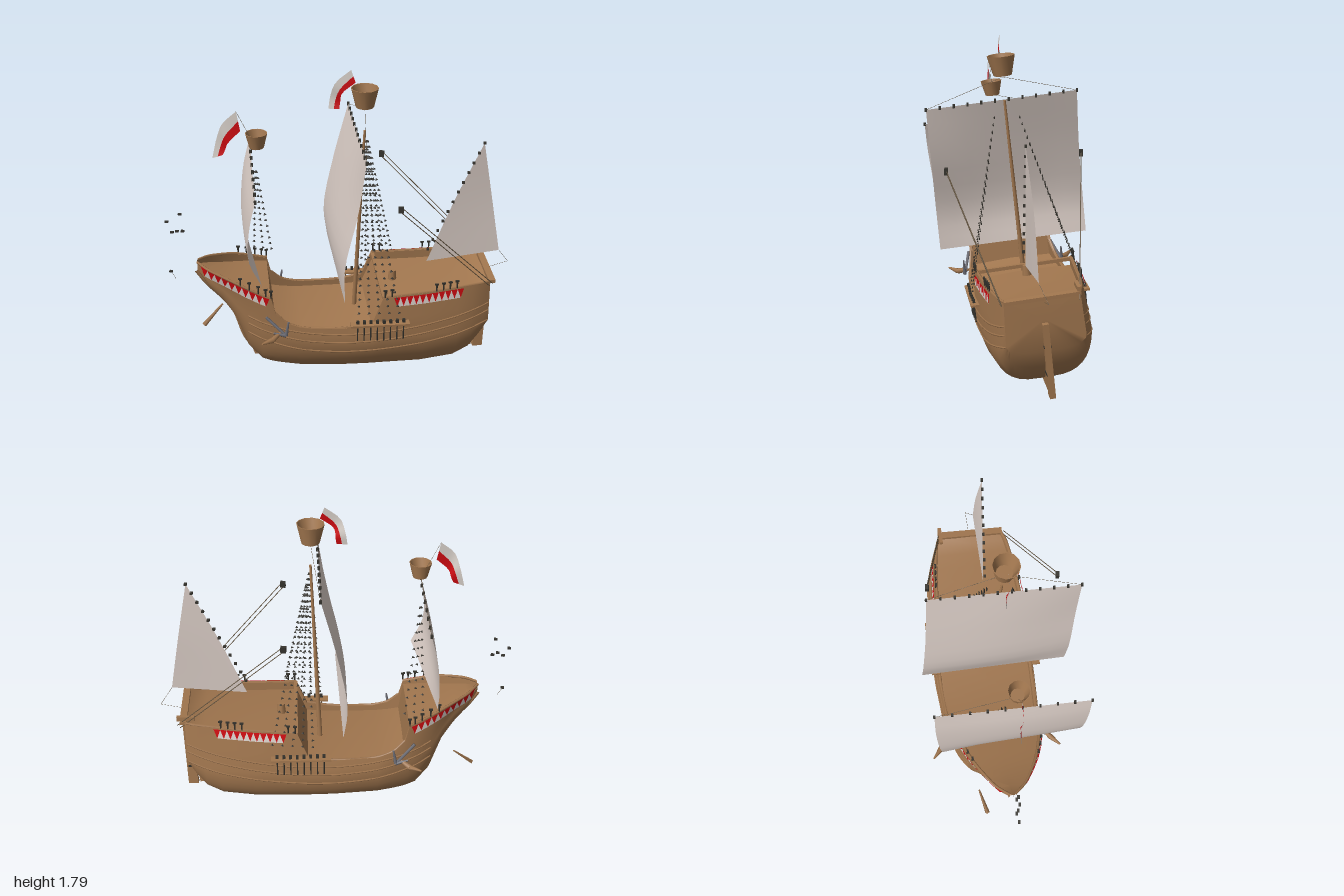
import * as THREE from 'three';
import { mergeGeometries, toCreasedNormals } from 'three/addons/utils/BufferGeometryUtils.js';

const mat = (name, color, side = THREE.FrontSide) => {
  const m = new THREE.MeshStandardMaterial({ color, side });
  m.name = name;
  return m;
};
const V = (x, y, z) => new THREE.Vector3(x, y, z);

// hull stations: along, keel height, max half beam, its height, top half beam, rail height, deck height
const STATIONS = [
  [-0.84, 0.62, 0.012, 0.64, 0.015, 0.675, 0.65], [-0.78, 0.53, 0.07, 0.60, 0.085, 0.66, 0.62],
  [-0.70, 0.44, 0.11, 0.56, 0.14, 0.64, 0.59], [-0.63, 0.34, 0.15, 0.49, 0.18, 0.62, 0.57],
  [-0.56, 0.14, 0.19, 0.42, 0.21, 0.595, 0.555], [-0.48, 0.05, 0.23, 0.36, 0.235, 0.565, 0.54],
  [-0.43, 0.035, 0.246, 0.34, 0.247, 0.55, 0.53], [-0.405, 0.03, 0.253, 0.33, 0.252, 0.45, 0.36],
  [-0.34, 0.025, 0.273, 0.32, 0.267, 0.39, 0.34],
  [-0.25, 0.02, 0.29, 0.29, 0.28, 0.36, 0.325], [0, 0.015, 0.306, 0.27, 0.292, 0.355, 0.32],
  [0.15, 0.015, 0.308, 0.27, 0.288, 0.385, 0.335], [0.21, 0.015, 0.307, 0.28, 0.28, 0.54, 0.49],
  [0.45, 0.015, 0.297, 0.28, 0.263, 0.55, 0.50], [0.65, 0.035, 0.275, 0.29, 0.246, 0.565, 0.515],
  [0.74, 0.08, 0.252, 0.30, 0.232, 0.57, 0.525], [0.80, 0.17, 0.23, 0.31, 0.22, 0.572, 0.535],
  [0.845, 0.27, 0.212, 0.33, 0.20, 0.572, 0.56],
];
const stationAt = (u) => {
  let i = 0;
  while (i < STATIONS.length - 2 && STATIONS[i + 1][0] < u) i++;
  const a = STATIONS[i], b = STATIONS[i + 1], t = (u - a[0]) / (b[0] - a[0]);
  return a.map((n, k) => n + (b[k] - n) * t);
};
// half width of the hull at a height
const widthAt = (u, v) => {
  const [, k, B, m, T, s] = stationAt(u);
  if (v >= m) return B + (T - B) * Math.min(1, (v - m) / (s - m));
  return B * Math.pow(Math.sin(Math.acos(Math.max(0, Math.min(1, 1 - (v - k) / (m - k))))), 0.6);
};

function hullGeometry() {
  const pos = [], idx = [];
  let n = 0;
  for (const [u, k, B, m, T, s, d] of STATIONS) {
    const half = [];
    for (let j = 0; j <= 9; j++) {
      const a = (j / 9) * Math.PI / 2;
      half.push([B * Math.pow(Math.sin(a), 0.6), k + (m - k) * (1 - Math.cos(a))]);
    }
    const inner = T * 0.93;
    half.push([(B + T) / 2, (m + s) / 2], [T, s], [inner, s], [inner, d], [0, d + 0.01]);
    const ring = [...half, ...half.slice(1, -1).reverse().map(([w, v]) => [-w, v])];
    n = ring.length;
    for (const [w, v] of ring) pos.push(u, v, w);
  }
  const rows = STATIONS.length;
  for (let i = 0; i < rows - 1; i++) for (let j = 0; j < n; j++) {
    const a = i * n + j, b = i * n + (j + 1) % n;
    idx.push(a, a + n, b + n, a, b + n, b);
  }
  // transom
  const last = (rows - 1) * n;
  pos.push(0.85, 0.45, 0);
  for (let j = 0; j < n; j++) idx.push(rows * n, last + (j + 1) % n, last + j);
  const g = new THREE.BufferGeometry();
  g.setAttribute('position', new THREE.Float32BufferAttribute(pos, 3));
  g.setIndex(idx);
  return toCreasedNormals(g, 0.7);
}

// sail or flag surface between two edge curves, bellied toward the bow
function clothGeometry(edgeA, edgeB, belly, cols = 8, rows = 10) {
  const ca = new THREE.CatmullRomCurve3(edgeA), cb = new THREE.CatmullRomCurve3(edgeB);
  const g = new THREE.PlaneGeometry(1, 1, cols, rows), p = g.attributes.position;
  for (let i = 0; i < p.count; i++) {
    const s = p.getX(i) + 0.5, t = 0.5 - p.getY(i);
    const q = ca.getPoint(t).lerp(cb.getPoint(t), s);
    p.setXYZ(i, q.x - belly * Math.sin(Math.PI * s) * Math.sin(Math.PI * t), q.y, q.z);
  }
  g.computeVertexNormals();
  return g;
}
const rod = (a, b, r0, r1 = r0, sides = 5) => {
  const d = b.clone().sub(a);
  const g = new THREE.CylinderGeometry(r1, r0, d.length(), sides);
  g.applyQuaternion(new THREE.Quaternion().setFromUnitVectors(V(0, 1, 0), d.normalize()));
  return g.translate((a.x + b.x) / 2, (a.y + b.y) / 2, (a.z + b.z) / 2);
};
const block = (p, w, h, d) => new THREE.BoxGeometry(w, h, d).translate(p.x, p.y, p.z);

export function createModel() {
  const wood = mat('wood', 0xa2774f);
  const canvas = mat('canvas', 0xdacdc6, THREE.DoubleSide);
  const white = mat('white cloth', 0xdcd4cd, THREE.DoubleSide), red = mat('red cloth', 0xd00a10, THREE.DoubleSide);
  const tar = mat('tarred fittings', 0x35332d), iron = mat('iron', 0x707078), ropeMat = mat('rope', 0x65553f);

  const model = new THREE.Group(), ship = new THREE.Group(), rig = new THREE.Group();
  model.name = 'sailingShip'; ship.name = 'hullGroup'; rig.name = 'rigging';
  model.add(ship, rig);
  // the hull is turned and heels to one side
  ship.position.z = -0.135;
  ship.rotation.set(0.107, 0.157, 0, 'YXZ');
  const add = (parent, name, geos, m) => {
    const list = [].concat(geos).map((g) => (g.index ? g.toNonIndexed() : g));
    const mesh = new THREE.Mesh(list.length > 1 ? mergeGeometries(list) : list[0], m);
    mesh.name = name;
    parent.add(mesh);
  };

  add(ship, 'hull', hullGeometry(), wood);
  // stem, sternpost and rudder
  const keel = STATIONS.slice(0, 8).map(([u, k]) => V(u - 0.005, k, 0));
  add(ship, 'stem', new THREE.TubeGeometry(new THREE.CatmullRomCurve3(keel), 24, 0.016, 6), wood);
  const plate = (pts, t) => new THREE.ExtrudeGeometry(new THREE.Shape(pts.map(([x, y]) => new THREE.Vector2(x, y))),
    { depth: t, bevelEnabled: false }).translate(0, 0, -t / 2);
  add(ship, 'forefoot', plate([[-0.52, 0.025], [-0.36, 0.025], [-0.55, 0.25], [-0.61, 0.30]], 0.022), wood);
  add(ship, 'sternpost', plate([[0.55, 0.02], [0.80, 0.02], [0.85, 0.35], [0.78, 0.35]], 0.025), wood);
  add(ship, 'rudder', plate([[0.81, 0.01], [0.87, 0.01], [0.88, 0.43], [0.848, 0.43]], 0.032), wood);
  add(ship, 'rudderHinges', [0.14, 0.3].map((v) => block(V(0.835, v, 0), 0.06, 0.012, 0.038)), tar);

  // wales, cap rails, buntings and fittings on both sides
  const wales = [], caps = [], bars = [], channels = [], posts = [], reds = [], whites = [];
  const tri = (list, a, b, c) => list.push(a.x, a.y, a.z, b.x, b.y, b.z, c.x, c.y, c.z);
  const tube = (pts, r) => new THREE.TubeGeometry(new THREE.CatmullRomCurve3(pts), 40, r, 5);
  for (const s of [1, -1]) {
    for (const base of [0.20, 0.265, 0.315]) {
      const pts = [];
      for (let u = -0.56; u < 0.85; u += 0.07) {
        const v = base + 0.17 * u * u + (u < 0 ? 0.12 * u * u : 0);
        pts.push(V(u, v, s * widthAt(u, v)));
      }
      wales.push(tube(pts, 0.005));
    }
    for (const [from, to] of [[0, 6], [7, 11], [12, 17]])
      caps.push(tube(STATIONS.slice(from, to + 1).map(([u, , , , T, top]) => V(u, top, s * T * 0.97)), 0.008));
    // chain plates under the channel boards
    for (let i = 0; i < 8; i++) {
      const u = 0.06 + i * 0.038, w = s * (widthAt(u, 0.32) + 0.016);
      bars.push(rod(V(u, 0.28, w), V(u, 0.39, w), 0.004), block(V(u, 0.405, w), 0.016, 0.02, 0.014));
    }
    channels.push(block(V(0.19, 0.385, s * 0.31), 0.34, 0.012, 0.05));
    // rail posts and swivels
    for (const u of [-0.6, -0.55, -0.5, -0.46, -0.43, 0.22, 0.26, 0.52, 0.56, 0.6, 0.64]) {
      const [, , , , T, top] = stationAt(u);
      posts.push(rod(V(u, top, s * T), V(u, top + 0.045, s * T), 0.004, 0.006),
        block(V(u, top + 0.045, s * T), 0.022, 0.008, 0.01));
    }
    // bunting of alternating triangles
    for (const [from, to, count] of [[-0.82, -0.44, 10], [0.27, 0.68, 11]]) {
      const P = (f, low) => {
        const u = from + (to - from) * f / count, v = stationAt(u)[5] - (low ? 0.058 : 0.002);
        return V(u, v, s * (widthAt(u, v) + 0.012));
      };
      for (let i = 0; i < count; i++) {
        tri(reds, P(i, false), P(i + 0.5, true), P(i + 1, false));
        if (i) tri(whites, P(i - 0.5, true), P(i + 0.5, true), P(i, false));
      }
    }
  }
  add(ship, 'wales', wales, wood);
  add(ship, 'capRails', caps, wood);
  add(ship, 'chainPlates', bars, tar);
  add(ship, 'channels', channels, wood);
  add(ship, 'railPosts', posts, tar);
  for (const [name, list, m] of [['redBunting', reds, red], ['whiteBunting', whites, white]]) {
    const g = new THREE.BufferGeometry();
    g.setAttribute('position', new THREE.Float32BufferAttribute(list, 3));
    g.computeVertexNormals();
    add(ship, name, g, m);
  }
  // deck details
  add(ship, 'deckBeams', [block(V(0.215, 0.53, 0), 0.02, 0.02, 0.55), block(V(0.855, 0.57, 0), 0.04, 0.02, 0.4),
    block(V(0.84, 0.6, -0.19), 0.1, 0.025, 0.02)], wood);
  add(ship, 'capstan', new THREE.CylinderGeometry(0.02, 0.026, 0.06, 8).translate(0.3, 0.53, 0), wood);
  // anchors slung against the bow, with curved wooden stocks
  for (const s of [1, -1]) {
    add(ship, 'anchor', [rod(V(-0.46, 0.43, s * 0.255), V(-0.35, 0.33, s * 0.3), 0.009),
      rod(V(-0.35, 0.33, s * 0.3), V(-0.42, 0.35, s * 0.3), 0.011, 0.005),
      rod(V(-0.35, 0.33, s * 0.3), V(-0.335, 0.42, s * 0.3), 0.011, 0.005)], iron);
    const mid = V(-0.43, 0.325, s * 0.335);
    add(ship, 'anchorStock', [rod(mid, V(-0.49, 0.335, s * 0.385), 0.017, 0.005, 6),
      rod(mid, V(-0.37, 0.345, s * 0.275), 0.017, 0.008, 6)], wood);
  }
  add(rig, 'bowTimber', rod(V(-0.82, 0.19, -0.08), V(-0.71, 0.31, -0.13), 0.014, 0.005, 4), wood);

  // square sails, mizzen sail and their lashings
  const lashings = [];
  const sail = (name, edgeA, edgeB, belly, count) => {
    add(rig, name, clothGeometry(edgeA, edgeB, belly), canvas);
    for (let i = 0; i <= count; i++)
      lashings.push(block(edgeA[0].clone().lerp(edgeB[0], i / count), 0.014, 0.02, 0.012));
  };
  sail('mainSail', [V(0.03, 1.49, -0.4), V(-0.06, 1.15, -0.42), V(-0.12, 0.83, -0.45), V(-0.10, 0.635, -0.47)],
    [V(0.165, 1.40, 0.43), V(0.12, 1.1, 0.41), V(0.05, 0.78, 0.39), V(0.05, 0.56, 0.37)], 0.02, 11);
  sail('foreSail', [V(-0.55, 1.285, -0.35), V(-0.59, 1.12, -0.35), V(-0.61, 0.9, -0.34), V(-0.605, 0.78, -0.33)],
    [V(-0.42, 1.195, 0.49), V(-0.455, 1.05, 0.48), V(-0.47, 0.84, 0.45), V(-0.405, 0.68, 0.42)], 0.01, 9);
  const head = V(0.815, 1.35, -0.12), tack = V(0.51, 0.7, -0.11);
  add(rig, 'mizzenSail', clothGeometry([head, V(0.66, 1.01, -0.12), V(0.505, 0.62, -0.12)],
    [head, V(0.875, 1.0, -0.165), V(0.93, 0.67, -0.19)], 0), canvas);
  for (let i = 0; i <= 11; i++) lashings.push(block(tack.clone().lerp(head, i / 11), 0.016, 0.013, 0.014));
  add(rig, 'lashings', lashings, tar);

  // main mast and the two tops
  add(rig, 'mainMast', rod(V(0.08, 0.33, -0.12), V(0.14, 1.45, 0.0), 0.014, 0.007, 10), wood);
  const top = (name, x, y, z, r, h) => {
    const pts = [[0, 0], [0.66, 0], [1, 1], [0.93, 1], [0.6, 0.12], [0, 0.12]];
    const g = new THREE.LatheGeometry(pts.map(([a, b]) => new THREE.Vector2(a * r, b * h)), 12);
    add(rig, name, toCreasedNormals(g, 0.6).rotateX(0.1).translate(x, y, z), wood);
  };
  top('mainTop', 0.14, 1.59, 0.01, 0.077, 0.11);
  top('foreTop', -0.455, 1.37, 0.085, 0.062, 0.085);

  // two-coloured flags
  const flag = (name, left, mid, right, z) => {
    const edge = (pts) => pts.map(([x, y], i) => V(x, y, z + 0.01 * Math.sin(i * 2)));
    add(rig, name + 'White', clothGeometry(edge(left), edge(mid), 0, 1, 8), white);
    add(rig, name + 'Red', clothGeometry(edge(mid), edge(right), 0, 1, 8), red);
  };
  flag('mainFlag', [[0.065, 1.80], [-0.02, 1.73], [-0.05, 1.65], [-0.06, 1.58]],
    [[0.077, 1.765], [0.005, 1.695], [-0.02, 1.635], [-0.03, 1.58]], [[0.09, 1.73], [0.015, 1.67], [0.005, 1.62], [0, 1.58]], 0.03);
  flag('foreFlag', [[-0.56, 1.58], [-0.635, 1.515], [-0.67, 1.435], [-0.70, 1.31]],
    [[-0.55, 1.525], [-0.62, 1.45], [-0.645, 1.4], [-0.67, 1.32]], [[-0.54, 1.47], [-0.61, 1.4], [-0.625, 1.365], [-0.64, 1.33]], 0.11);

  // shrouds as rows of flat ratline knots
  const knots = [];
  const shroud = (lowA, lowB, peak, lines, steps) => {
    for (let i = 0; i < lines; i++) for (let j = 0; j < steps; j++) {
      const p = lowA.clone().lerp(lowB, i / (lines - 1)).lerp(peak, j / steps);
      knots.push(new THREE.ConeGeometry(0.011, 0.014, 3).scale(1, 1, 0.5).rotateZ(0.3 - 0.6 * (j % 2)).translate(p.x, p.y, p.z));
    }
  };
  shroud(V(0.12, 0.42, 0.19), V(0.35, 0.42, 0.17), V(0.15, 1.4, 0.05), 5, 24);
  shroud(V(0.08, 0.5, -0.41), V(0.31, 0.5, -0.42), V(0.15, 1.4, -0.07), 5, 24);
  shroud(V(-0.52, 0.66, -0.2), V(-0.42, 0.64, -0.22), V(-0.47, 1.25, 0.04), 3, 14);
  add(rig, 'shrouds', knots, tar);

  // stays, braces with blocks, and loose tackle ahead of the bow
  const braceTops = [V(0.23, 1.18, -0.42), V(0.35, 1.1, 0.31)], braceEnds = [V(0.85, 0.56, -0.4), V(0.88, 0.53, 0)];
  const ropes = [];
  braceTops.forEach((a, i) => [-0.008, 0.008].forEach((o) =>
    ropes.push(rod(a.clone().add(V(o, o, 0)), braceEnds[i].clone().add(V(o, o, 0)), 0.0025))));
  const lines = [[V(0.14, 1.58, 0.01), V(0.03, 1.49, -0.4)], [V(0.14, 1.58, 0.01), V(0.165, 1.4, 0.43)],
    [V(-0.56, 1.58, 0.11), V(-0.49, 1.43, 0.09)], [V(-0.46, 1.37, 0.09), V(-0.55, 1.28, -0.35)],
    [V(0.88, 0.55, -0.22), V(0.99, 0.58, -0.24)], [V(0.99, 0.58, -0.24), V(0.93, 0.67, -0.19)],
    [V(-0.97, 0.63, 0.1), V(-0.94, 0.57, 0.1)]];
  lines.forEach(([a, b]) => ropes.push(rod(a, b, 0.001, 0.001, 4)));
  add(rig, 'ropes', ropes, ropeMat);
  const tackle = [[-0.98, 0.92], [-0.95, 0.86], [-0.92, 0.87], [-0.89, 0.865], [-0.9, 0.97], [-0.965, 0.62]];
  add(rig, 'blocks', [...braceTops.map((p) => block(p, 0.03, 0.035, 0.02)),
    ...tackle.map(([x, y], i) => block(V(x, y, 0.09 + 0.008 * (i % 3)), 0.02, 0.01, 0.014))], tar);
  return model;
}
